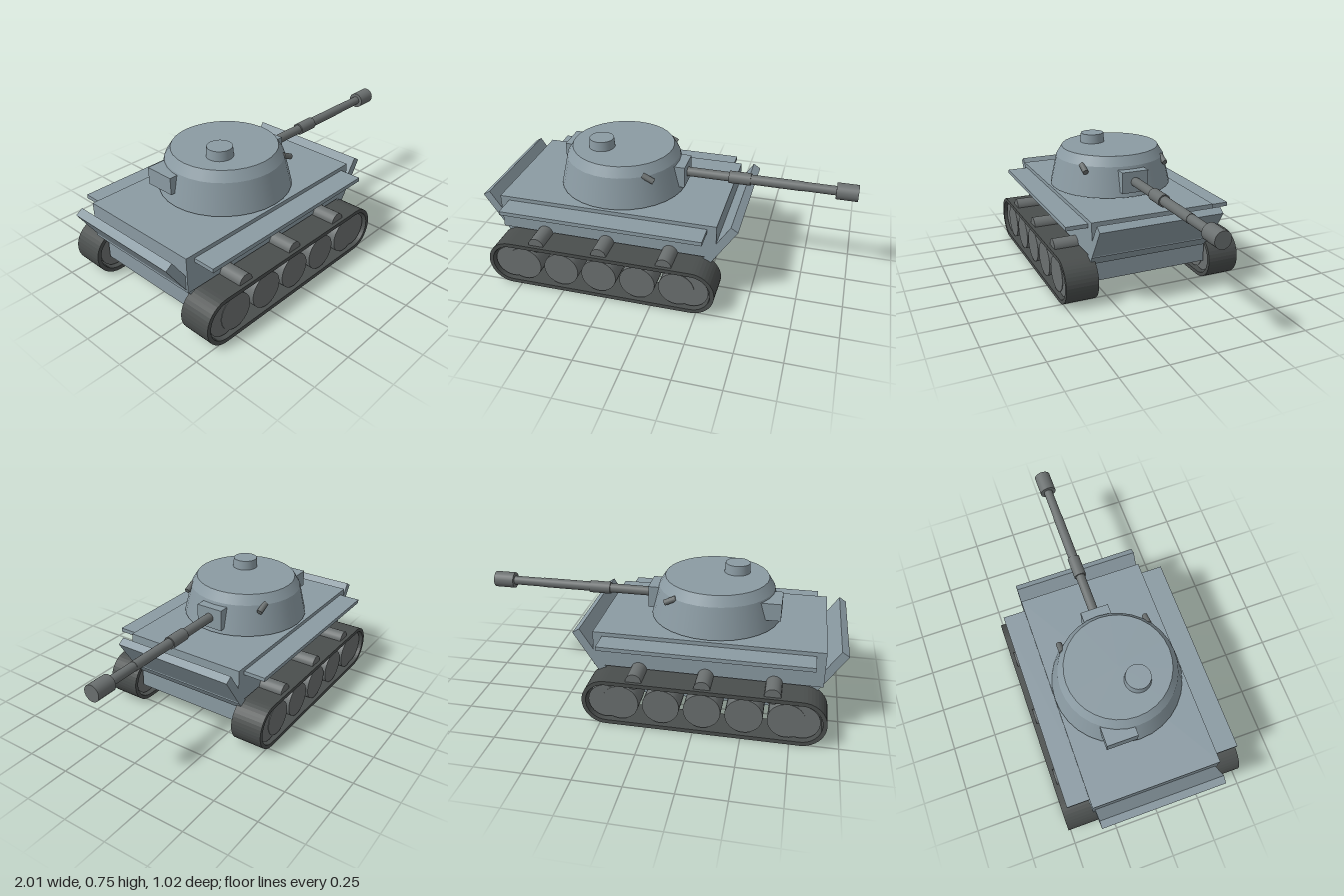
import * as THREE from 'three';

const CX = -0.29; // middle of the hull along x

export function createModel() {
  const model = new THREE.Group();
  model.name = 'tank';
  const armour = new THREE.MeshStandardMaterial({ color: 0x8b9ba3 });
  const steel = new THREE.MeshStandardMaterial({ color: 0x6b7070 });
  const rubber = new THREE.MeshStandardMaterial({ color: 0x4a4e4d });

  function add(name, geometry, material, x = 0, y = 0, z = 0, parent = model) {
    const mesh = new THREE.Mesh(geometry, material);
    mesh.name = name;
    mesh.position.set(x, y, z);
    parent.add(mesh);
    return mesh;
  }
  // Box given by its limits on each axis
  function box(name, x0, x1, y0, y1, z0, z1, parent = model) {
    return add(name, new THREE.BoxGeometry(x1 - x0, y1 - y0, z1 - z0), armour,
      (x0 + x1) / 2, (y0 + y1) / 2, (z0 + z1) / 2, parent);
  }

  // Hull
  const hull = new THREE.Group();
  hull.name = 'hull';
  model.add(hull);
  box('upperHull', -0.9, 0.318, 0.265, 0.462, -0.355, 0.355, hull);
  box('lowerHull', -0.85, 0.27, 0.11, 0.27, -0.335, 0.335, hull);
  for (const s of [1, -1]) {
    // Sloped end plates, standing proud of the deck
    const plate = add(s > 0 ? 'gunEndPlate' : 'rearEndPlate',
      new THREE.BoxGeometry(0.046, 0.275, s > 0 ? 0.71 : 0.685), armour,
      CX + s * 0.626, 0.343, 0, hull);
    plate.rotation.z = -s * 0.578;
    // Side shelves
    box('sideShelf', -0.85, 0.268, 0.418, 0.44, s > 0 ? 0.33 : -0.478, s > 0 ? 0.478 : -0.33, hull);
  }

  // Running gear: one closed track loop per side with its wheels
  const R = 0.129, left = -0.803, right = 0.218;
  function loop(path, r) {
    path.moveTo(left, -r);
    path.lineTo(right, -r);
    path.absarc(right, 0, r, -Math.PI / 2, Math.PI / 2, false);
    path.lineTo(left, r);
    path.absarc(left, 0, r, Math.PI / 2, Math.PI * 1.5, false);
    return path;
  }
  const trackShape = loop(new THREE.Shape(), R);
  trackShape.holes.push(loop(new THREE.Path(), R - 0.022));
  const trackGeometry = new THREE.ExtrudeGeometry(trackShape,
    { depth: 0.18, bevelEnabled: false, curveSegments: 10 });
  trackGeometry.translate(0, 0, -0.09);
  const wheelGeometry = new THREE.CylinderGeometry(0.098, 0.098, 0.15, 32).rotateX(Math.PI / 2);
  const endWheelGeometry = new THREE.CylinderGeometry(0.095, 0.095, 0.144, 32).rotateX(Math.PI / 2);
  const rollerGeometry = new THREE.CylinderGeometry(0.043, 0.043, 0.14, 20).rotateX(Math.PI / 2);
  for (const s of [1, -1]) {
    const gear = new THREE.Group();
    gear.name = s > 0 ? 'leftRunningGear' : 'rightRunningGear';
    gear.position.z = s * 0.42;
    model.add(gear);
    add('track', trackGeometry, rubber, 0, R, 0, gear);
    for (let i = 0; i < 5; i++) add('roadWheel', wheelGeometry, steel, -0.728 + i * 0.217, 0.13, 0, gear);
    for (const x of [left, right]) add('endWheel', endWheelGeometry, steel, x, 0.13, 0, gear);
    for (let i = 0; i < 3; i++) add('returnRoller', rollerGeometry, steel, -0.65 + i * 0.359, 0.26, 0, gear);
  }

  // Turret
  const turret = new THREE.Group();
  turret.name = 'turret';
  model.add(turret);
  const tx = -0.293;
  const drum = (name, rTop, rBottom, y0, y1, x = tx, z = 0) =>
    add(name, new THREE.CylinderGeometry(rTop, rBottom, y1 - y0, 32), armour, x, (y0 + y1) / 2, z, turret);
  drum('turretRing', 0.23, 0.23, 0.455, 0.48);
  drum('turretWall', 0.316, 0.355, 0.474, 0.642);
  drum('turretRoof', 0.283, 0.316, 0.642, 0.695);
  drum('cupola', 0.067, 0.072, 0.69, 0.748, -0.395, 0.07);
  box('stowageBox', -0.655, -0.5, 0.537, 0.632, -0.19, -0.02, turret);
  box('gunMantlet', -0.06, 0.076, 0.504, 0.625, -0.078, 0.078, turret);

  // Small tilted launchers on the turret shoulder
  for (const s of [1, -1]) {
    const launcher = add('launcher', new THREE.CylinderGeometry(0.016, 0.016, 0.068, 12), steel,
      -0.08, 0.629, s * 0.244, turret);
    launcher.rotation.z = -Math.PI / 2 - 0.45;
  }

  // Gun: stepped tube along +x
  const gun = new THREE.Group();
  gun.name = 'gun';
  turret.add(gun);
  const tube = (name, x0, x1, r0, r1 = r0) =>
    add(name, new THREE.CylinderGeometry(r0, r1, x1 - x0, 24).rotateZ(Math.PI / 2), steel,
      (x0 + x1) / 2, 0.565, 0, gun);
  tube('barrelBase', 0.06, 0.32, 0.026);
  tube('barrelSleeve', 0.31, 0.43, 0.034);
  tube('barrel', 0.42, 0.71, 0.027);
  tube('barrelTip', 0.7, 0.9, 0.025);
  tube('muzzle', 0.885, 1.0, 0.045);
  return model;
}
